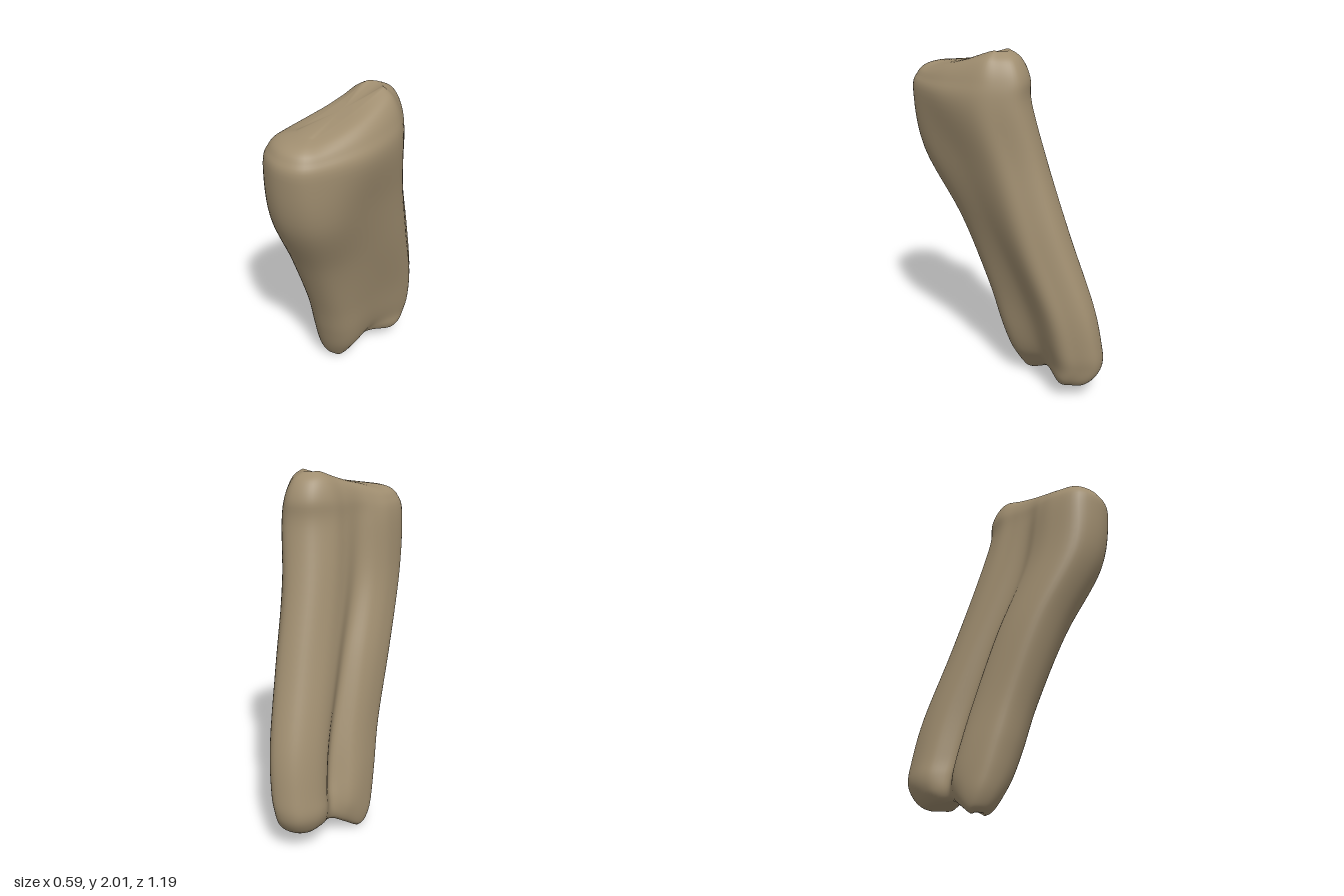
import * as THREE from 'three';

// Cross-sections from bottom to top. Each is a two-lobed outline:
// [front y, back y, front x, front z, front radius, back x, back z, back radius, groove, hollow, notch]
const SECTIONS = [
  [0.00, 0.09, -0.21, -0.10, 0.04, -0.05, -0.39, 0.05, 0.01, 0.01, 0.05],
  [0.03, 0.10, -0.20, -0.10, 0.078, -0.05, -0.41, 0.09, 0.03, 0.02, 0.055],
  [0.10, 0.15, -0.185, -0.09, 0.11, -0.05, -0.43, 0.125, 0.05, 0.03, 0.04],
  [0.20, 0.23, -0.16, -0.075, 0.137, -0.05, -0.448, 0.142, 0.07, 0.03, 0.02],
  [0.35, 0.35, -0.14, -0.04, 0.15, -0.03, -0.44, 0.148, 0.08, 0.03, 0],
  [0.60, 0.60, -0.12, 0.035, 0.152, 0.00, -0.385, 0.155, 0.075, 0.02, 0],
  [1.00, 1.00, -0.09, 0.18, 0.17, 0.04, -0.235, 0.165, 0.06, 0.005, 0],
  [1.40, 1.40, -0.03, 0.355, 0.195, 0.075, -0.10, 0.17, 0.045, 0.00, 0],
  [1.72, 1.72, -0.01, 0.40, 0.197, 0.115, -0.01, 0.18, 0.03, -0.03, 0],
  [1.82, 1.86, -0.01, 0.40, 0.168, 0.11, -0.015, 0.162, 0.02, -0.03, 0],
  [1.865, 1.955, -0.01, 0.39, 0.125, 0.105, -0.01, 0.12, 0.01, -0.02, 0],
  [1.885, 1.997, 0.00, 0.37, 0.06, 0.10, -0.01, 0.055, 0.00, 0.00, -0.01],
];
const RINGS = 66, SIDES = 84;

// Smooth closed outline around the two lobes
function outline([yF, yB, fx, fz, rF, bx, bz, rB, groove, hollow, notch]) {
  const front = new THREE.Vector3(fx, yF, fz), back = new THREE.Vector3(bx, yB, bz);
  const u = new THREE.Vector3(bx - fx, 0, bz - fz).normalize();
  const n = new THREE.Vector3(-u.z, 0, u.x);
  const mid = front.clone().lerp(back, 0.5);
  mid.y += notch;
  const r = (rF + rB) / 2;
  const pts = [];
  // Half round end whose first corner is fuller or flatter
  const arc = (c, radius, start, corner) => {
    for (let k = 0; k < 5; k++) {
      const a = start + k * Math.PI / 4, d = radius * (k === 1 ? corner : 1);
      pts.push(c.clone().addScaledVector(u, -Math.cos(a) * d).addScaledVector(n, Math.sin(a) * d));
    }
  };
  // Full shoulder beside the groove
  const shoulder = (s, radius) => {
    const p = front.clone().lerp(back, s).addScaledVector(n, -radius * 0.95);
    p.y += notch * 0.6;
    pts.push(p);
  };
  arc(front, rF, -Math.PI / 2, 1.06);
  pts.push(mid.clone().addScaledVector(n, r - hollow));
  arc(back, rB, Math.PI / 2, 0.84);
  shoulder(0.75, rB);
  pts.push(mid.clone().addScaledVector(n, groove - r));
  shoulder(0.27, rF);
  const curve = new THREE.CatmullRomCurve3(pts, true, 'catmullrom', 0.5);
  const ring = [];
  for (let j = 0; j < SIDES; j++) ring.push(curve.getPoint(j / SIDES));
  return { ring, mid };
}

function boneGeometry() {
  // Smooth each section value along the length
  const tracks = SECTIONS[0].map((_, c) =>
    new THREE.SplineCurve(SECTIONS.map((row, i) => new THREE.Vector2(i, row[c]))));
  const positions = [], index = [], caps = [];
  for (let i = 0; i <= RINGS; i++) {
    const { ring, mid } = outline(tracks.map((t) => t.getPoint(i / RINGS).y));
    ring.forEach((p) => positions.push(p.x, p.y, p.z));
    if (i === 0 || i === RINGS) caps.push(mid);
  }
  const at = (i, j) => i * SIDES + (j % SIDES);
  for (let i = 0; i < RINGS; i++) {
    for (let j = 0; j < SIDES; j++) {
      index.push(at(i, j), at(i, j + 1), at(i + 1, j + 1), at(i, j), at(i + 1, j + 1), at(i + 1, j));
    }
  }
  // Close both ends
  const bottom = positions.length / 3, top = bottom + 1;
  caps.forEach((p) => positions.push(p.x, p.y, p.z));
  for (let j = 0; j < SIDES; j++) {
    index.push(bottom, at(0, j + 1), at(0, j), top, at(RINGS, j), at(RINGS, j + 1));
  }
  const geometry = new THREE.BufferGeometry();
  geometry.setAttribute('position', new THREE.Float32BufferAttribute(positions, 3));
  geometry.setIndex(index);
  geometry.computeVertexNormals();
  return geometry;
}

export function createModel() {
  const group = new THREE.Group();
  group.name = 'bone';
  const tan = new THREE.MeshStandardMaterial({ color: 0xa08e70 });
  tan.name = 'tan bone';
  const shaft = new THREE.Mesh(boneGeometry(), tan);
  shaft.name = 'boneShaft';
  group.add(shaft);
  return group;
}
